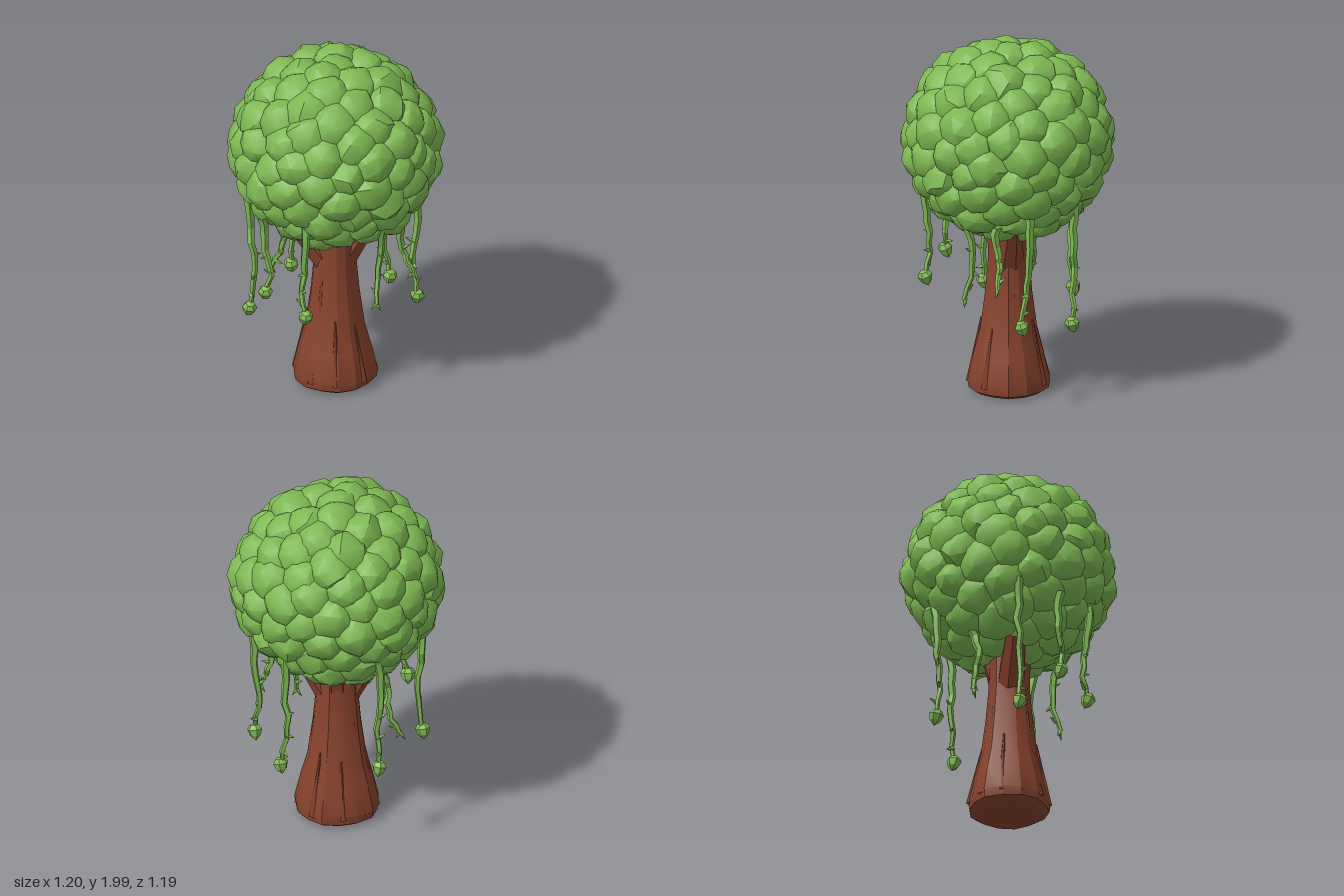
import * as THREE from 'three';
import { mergeGeometries, mergeVertices, toCreasedNormals } from 'three/addons/utils/BufferGeometryUtils.js';

const paint = (name, color) => Object.assign(new THREE.MeshStandardMaterial({ color }), { name });

function seeded(seed) {
  return () => {
    seed = (seed * 16807) % 2147483647;
    return seed / 2147483647;
  };
}

// Smooth inside facets, sharp at strong bends
function crease(geo, angle) {
  geo.deleteAttribute('uv');
  geo.deleteAttribute('normal');
  return toCreasedNormals(mergeVertices(geo, 1e-4), angle);
}

// Cone or cylinder running from a to b
function limb(a, b, r0, r1, sides) {
  const dir = b.clone().sub(a);
  const geo = new THREE.CylinderGeometry(r1, r0, dir.length(), sides);
  geo.applyQuaternion(new THREE.Quaternion().setFromUnitVectors(new THREE.Vector3(0, 1, 0), dir.normalize()));
  const mid = a.clone().add(b).multiplyScalar(0.5);
  return geo.translate(mid.x, mid.y, mid.z);
}

// One rounded, slightly faceted ball of leaves
function clump(center, radius, rand) {
  let geo = new THREE.IcosahedronGeometry(radius, 1);
  geo.deleteAttribute('uv');
  geo.deleteAttribute('normal');
  geo = mergeVertices(geo, 1e-4);
  const p = geo.attributes.position;
  for (let i = 0; i < p.count; i++) {
    const k = 0.92 + rand() * 0.13;
    p.setXYZ(i, p.getX(i) * k, p.getY(i) * k, p.getZ(i) * k);
  }
  geo.rotateX(rand() * 6).rotateY(rand() * 6);
  return toCreasedNormals(geo, 0.65).translate(center.x, center.y, center.z);
}

// Crown: clumps spread in a spiral over a slightly flattened ball
function crownGeometry() {
  const rand = seeded(77);
  const core = new THREE.IcosahedronGeometry(0.48, 3);
  core.deleteAttribute('uv');
  const parts = [core];
  const count = 126;
  for (let i = 0; i < count; i++) {
    const y = i === 0 ? 1 : 1 - (2 * i + 1) / count;
    const ring = Math.sqrt(1 - y * y);
    const a = i * 2.39996 + (rand() - 0.5) * 0.16;
    const reach = 0.452 + rand() * 0.018;
    const center = new THREE.Vector3(Math.cos(a) * ring * reach, y * 0.433, Math.sin(a) * ring * reach);
    parts.push(clump(center, 0.126 + rand() * 0.022, rand));
  }
  return mergeGeometries(parts).translate(0, 1.435, 0);
}

// Flared trunk with uneven sides
function trunkGeometry() {
  const profile = [[0, 0.005], [0.19, 0], [0.222, 0.02], [0.23, 0.07], [0.195, 0.22], [0.16, 0.35],
    [0.132, 0.56], [0.114, 0.76], [0.12, 1.0]].map(([r, y]) => new THREE.Vector2(r, y));
  const geo = new THREE.LatheGeometry(profile, 14);
  const p = geo.attributes.position;
  for (let i = 0; i < p.count; i++) {
    const x = p.getX(i), z = p.getZ(i);
    const a = Math.atan2(z, x);
    const k = 1 + 0.025 * Math.sin(a * 5 + 1) + 0.015 * Math.cos(a * 2);
    p.setX(i, x * k);
    p.setZ(i, z * k);
  }
  return crease(geo, 0.4);
}

// Thin raised bark slivers lying along the trunk
function barkGeometry() {
  const parts = [];
  for (let i = 0; i < 9; i++) {
    const a = i * 0.698 + 0.25 * Math.sin(i * 7);
    const at = (r, y) => new THREE.Vector3(Math.cos(a) * r, y, Math.sin(a) * r);
    parts.push(limb(at(0.214, 0.05), at(0.15, 0.34 + 0.04 * (i % 3)), 0.022, 0.004, 4));
    if (i % 3 === 0) parts.push(limb(at(0.132, 0.46), at(0.107, 0.76), 0.014, 0.004, 4));
  }
  return mergeGeometries(parts);
}

// Kinked, tapering vine with small side leaves
function vineGeometry(points, rand) {
  const curve = new THREE.CatmullRomCurve3(points, false, 'catmullrom', 0.2);
  const segs = 9, sides = 5;
  const tube = new THREE.TubeGeometry(curve, segs, 0.026, sides);
  const kinks = Array.from({ length: segs + 1 }, () => new THREE.Vector3(rand() - 0.5, 0, rand() - 0.5));
  const p = tube.attributes.position;
  const v = new THREE.Vector3();
  for (let i = 0; i < p.count; i++) {
    const ring = Math.floor(i / (sides + 1));
    const t = ring / segs;
    const c = curve.getPointAt(t);
    v.fromBufferAttribute(p, i).sub(c).multiplyScalar(1 - 0.5 * t).add(c).addScaledVector(kinks[ring], 0.018);
    p.setXYZ(i, v.x, v.y, v.z);
  }
  const parts = [tube];
  for (const t of [0.55, 0.75, 0.9]) {
    const c = curve.getPointAt(t);
    const a = rand() * 6.28;
    const tip = c.clone().add(new THREE.Vector3(Math.cos(a) * 0.045, (rand() - 0.4) * 0.06, Math.sin(a) * 0.045));
    parts.push(limb(c, tip, 0.016, 0.002, 4));
  }
  return crease(mergeGeometries(parts), 0.3);
}

// Vines: path of [x, y, z], with or without a bud at the end
const vines = [
  { bud: true, path: [[-0.48, 1.2, 0.03], [-0.46, 0.95, 0.02], [-0.445, 0.72, 0.04], [-0.47, 0.48, 0.03]] },
  { bud: true, path: [[-0.42, 1.15, 0.25], [-0.4, 0.93, 0.24], [-0.37, 0.8, 0.27], [-0.405, 0.7, 0.26]] },
  { bud: true, path: [[-0.19, 1.17, 0.43], [-0.2, 0.9, 0.4], [-0.22, 0.72, 0.39], [-0.2, 0.62, 0.42]] },
  { bud: true, path: [[-0.2, 1.15, -0.42], [-0.21, 0.9, -0.41], [-0.19, 0.68, -0.39], [-0.2, 0.5, -0.41]] },
  { bud: true, path: [[0.3, 1.15, -0.3], [0.31, 0.9, -0.29], [0.29, 0.72, -0.3], [0.33, 0.47, -0.28]] },
  { bud: true, path: [[0.46, 1.18, -0.01], [0.455, 0.92, -0.01], [0.425, 0.74, -0.01], [0.45, 0.51, 0.03]] },
  { bud: false, path: [[-0.23, 1.0, -0.22], [-0.26, 0.85, -0.18], [-0.27, 0.7, -0.2], [-0.33, 0.59, -0.21]] },
  { bud: false, path: [[0.23, 1.2, 0.38], [0.23, 0.95, 0.26], [0.21, 0.75, 0.25], [0.2, 0.6, 0.29]] },
  { bud: false, path: [[0.34, 1.05, 0.15], [0.34, 0.95, 0.15], [0.37, 0.82, 0.14], [0.41, 0.71, 0.16]] },
];

export function createModel() {
  const leafGreen = paint('leaf green', 0x7fb953);
  const barkBrown = paint('bark brown', 0x88432e);

  const model = new THREE.Group();
  model.name = 'tree';
  const add = (name, geo, mat, parent = model) => {
    const mesh = new THREE.Mesh(geo, mat);
    mesh.name = name;
    parent.add(mesh);
    return mesh;
  };

  add('trunk', trunkGeometry(), barkBrown);
  add('barkRidges', barkGeometry(), barkBrown);

  // Branches spreading into the crown
  for (const [x, z] of [[-0.22, 0.02], [0.19, 0.02], [0.02, -0.1]]) {
    const from = new THREE.Vector3(x * 0.25, 0.75, z * 0.25);
    const to = new THREE.Vector3(x, 0.98, z);
    add('branch', crease(limb(from, to, 0.08, 0.055, 7), 0.5), barkBrown);
  }

  add('crown', crownGeometry(), leafGreen);

  // Hanging vines and their buds
  const rand = seeded(31);
  for (const { bud, path } of vines) {
    const group = new THREE.Group();
    group.name = 'hangingVine';
    model.add(group);
    const points = path.map((q) => new THREE.Vector3(...q));
    add('vine', vineGeometry(points, rand), leafGreen, group);
    const end = points[points.length - 1];
    if (bud) {
      const profile = [[0, -0.06], [0.03, -0.03], [0.042, 0.005], [0.026, 0.03], [0, 0.038]];
      const geo = new THREE.LatheGeometry(profile.map((q) => new THREE.Vector2(...q)), 6);
      const mesh = add('bud', crease(geo, 0.3), leafGreen, group);
      mesh.position.set(end.x, end.y - 0.01, end.z);
      mesh.rotation.set(0.2, rand() * 3, 0.15);
    } else {
      // Forked tip
      for (const side of [-1, 1]) {
        const tip = end.clone().add(new THREE.Vector3(side * 0.025, -0.04, side * 0.01));
        add('vineTip', limb(end, tip, 0.013, 0.002, 5), leafGreen, group);
      }
    }
  }
  return model;
}
